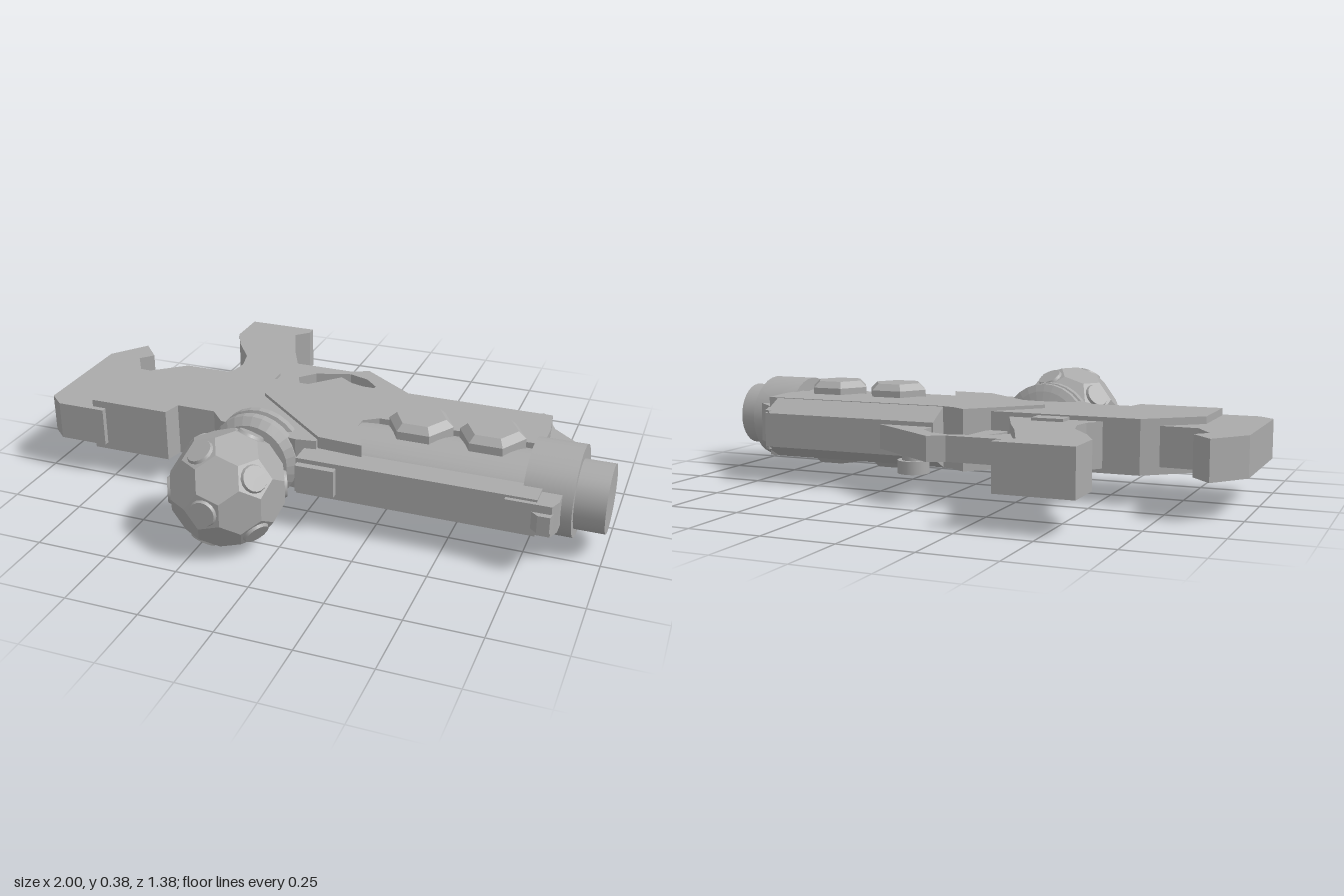
import * as THREE from 'three';
import { ConvexGeometry } from 'three/addons/geometries/ConvexGeometry.js';

const MID = 0.205; // height of the symmetry plane

export function createModel() {
  const model = new THREE.Group();
  model.name = 'blaster';
  const grey = new THREE.MeshStandardMaterial({ color: 0xaaaaaa });
  grey.name = 'grey';

  function add(name, geometry, parent = model) {
    const mesh = new THREE.Mesh(geometry, grey);
    mesh.name = name;
    parent.add(mesh);
    return mesh;
  }

  // Plate with an outline in x and z, thick from y0 to y1
  function slab(name, outline, y0, y1) {
    const shape = new THREE.Shape(outline.map(([x, z]) => new THREE.Vector2(x, -z)));
    const g = new THREE.ExtrudeGeometry(shape, { depth: y1 - y0, bevelEnabled: false });
    g.rotateX(-Math.PI / 2).translate(0, y0, 0);
    return add(name, g);
  }

  // Beam with a cross-section in z and y, running from x0 to x1
  function beam(name, section, x0, x1) {
    const shape = new THREE.Shape(section.map(([z, y]) => new THREE.Vector2(-z, y)));
    const g = new THREE.ExtrudeGeometry(shape, { depth: x1 - x0, bevelEnabled: false });
    g.rotateY(Math.PI / 2).translate(x0, 0, 0);
    return add(name, g);
  }

  function box(name, x0, x1, y0, y1, z0, z1) {
    const g = new THREE.BoxGeometry(x1 - x0, y1 - y0, z1 - z0);
    g.translate((x0 + x1) / 2, (y0 + y1) / 2, (z0 + z1) / 2);
    return add(name, g);
  }

  // Cylinder along x, squashed in height if needed
  function tube(name, r, x0, x1, z, squash = 1, sides = 32) {
    const g = new THREE.CylinderGeometry(r, r, x1 - x0, sides);
    g.rotateZ(Math.PI / 2).scale(1, squash, 1).translate((x0 + x1) / 2, MID, z);
    return add(name, g);
  }

  // Stock and rear body
  slab('buttPlate', [[-1, -0.2], [-0.905, -0.325], [-0.835, -0.245], [-0.875, -0.2],
    [-0.82, -0.11], [-0.68, -0.105], [-0.68, 0.24], [-0.77, 0.245], [-0.77, 0.265],
    [-0.945, 0.265], [-1, 0.215]], 0.14, 0.275);
  slab('rearBody', [[-0.82, 0], [-0.64, -0.15], [-0.05, -0.15], [0.04, 0], [0.04, 0.27],
    [-0.03, 0.28], [-0.32, 0.24], [-0.375, 0.18], [-0.515, 0.18], [-0.53, 0.245],
    [-0.82, 0.245]], 0.115, 0.3);

  // Grip, guard and trigger
  slab('grip', [[-0.605, -0.69], [-0.345, -0.69], [-0.345, -0.655], [-0.39, -0.61],
    [-0.32, -0.44], [-0.26, -0.32], [-0.2, -0.18], [-0.18, -0.13], [-0.53, -0.13],
    [-0.475, -0.2], [-0.465, -0.265], [-0.485, -0.345], [-0.56, -0.45],
    [-0.605, -0.54]], 0.13, 0.285);
  box('gripRidge', -0.4, -0.29, 0.12, 0.295, -0.215, -0.14);
  slab('triggerGuard', [[-0.33, -0.42], [-0.075, -0.42], [-0.02, -0.45], [0.245, -0.26],
    [0.2, -0.2], [0.05, -0.2], [0.05, -0.32], [0, -0.37], [-0.075, -0.395],
    [-0.2, -0.355], [-0.25, -0.3], [-0.28, -0.32]], 0.165, 0.25);
  slab('trigger', [[-0.09, -0.345], [-0.1, -0.24], [-0.11, -0.14], [-0.18, -0.14],
    [-0.18, -0.19], [-0.155, -0.26], [-0.145, -0.31]], 0.18, 0.235);
  for (const [r, y0, y1] of [[0.04, 0.11, 0.17], [0.055, 0.09, 0.135]]) {
    const g = new THREE.CylinderGeometry(r, r, y1 - y0, 20);
    add('guardKnob', g.translate(0.12, (y0 + y1) / 2, -0.255));
  }

  // Front body with its notch for the barrel
  slab('frontBody', [[-0.26, 0], [-0.05, -0.225], [0, -0.19], [0.05, -0.175], [0.74, -0.175],
    [0.755, -0.06], [0.755, 0.055], [0.19, 0.055], [0.14, 0.09], [0.14, 0.135],
    [0.2, 0.27], [0.045, 0.26]], 0.1, 0.312);
  tube('barrelShroud', 0.15, 0.04, 0.755, 0.14, 0.7);
  beam('upperRail', [[-0.15, 0.31], [-0.175, 0.31], [-0.26, 0.265], [-0.26, 0.145],
    [-0.175, 0.1], [-0.15, 0.1]], 0.045, 0.705);
  slab('railNose', [[0.69, -0.26], [0.71, -0.25], [0.755, -0.15], [0.84, -0.075],
    [0.69, -0.075]], 0.135, 0.275);

  // Lower rail with block and sight
  box('lowerRail', 0, 0.8, 0.14, 0.27, 0.2, 0.35);
  box('railBlock', 0.005, 0.14, 0.16, 0.255, 0.25, 0.375);
  slab('sightBase', [[0.7, 0.26], [0.865, 0.26], [0.865, 0.325], [0.85, 0.365],
    [0.7, 0.365]], 0.155, 0.262);
  slab('sightTip', [[0.77, 0.35], [0.855, 0.35], [0.85, 0.385], [0.81, 0.385]], 0.175, 0.235);

  // Muzzle
  tube('muzzleCollar', 0.165, 0.74, 0.9, 0.125, 0.91);
  tube('muzzle', 0.115, 0.85, 1, 0.145);

  // Hexagonal bosses on both faces
  for (const side of [1, -1]) {
    for (const x of [0.345, 0.59]) {
      for (const [top, bottom, y0, y1] of [[0.112, 0.112, 0.06, 0.13], [0.086, 0.112, 0.13, 0.153]]) {
        const g = new THREE.CylinderGeometry(top, bottom, y1 - y0, 6).toNonIndexed();
        g.rotateY(Math.PI / 2).translate(0, (y0 + y1) / 2, 0);
        if (side < 0) g.rotateX(Math.PI);
        g.computeVertexNormals();
        add('hexBoss', g.translate(x, MID, 0.078));
      }
    }
  }

  // Stacked rings that carry the ball
  const profile = [[0, 0.16], [0.13, 0.2], [0.155, 0.212], [0.155, 0.235], [0.135, 0.242],
    [0.135, 0.25], [0.155, 0.258], [0.155, 0.285], [0.13, 0.308], [0.08, 0.312],
    [0.08, 0.37], [0, 0.37]].map(([r, z]) => new THREE.Vector2(r, z));
  const rings = new THREE.LatheGeometry(profile, 28).toNonIndexed();
  rings.rotateX(Math.PI / 2).computeVertexNormals();
  add('ballMount', rings.translate(-0.18, MID, 0));

  // Panelled ball: an icosahedron cut at its corners, a stud on every corner
  const ball = new THREE.Group();
  ball.name = 'ball';
  ball.position.set(-0.178, MID, 0.5);
  model.add(ball);
  const corners = [new THREE.Vector3(0, 0, 1), new THREE.Vector3(0, 0, -1)];
  for (const s of [1, -1]) {
    for (let i = 0; i < 5; i++) {
      const a = (i * 2 * Math.PI) / 5 + (s > 0 ? Math.PI : 0);
      corners.push(new THREE.Vector3(0.8944 * Math.cos(a), 0.8944 * Math.sin(a), 0.4472 * s));
    }
  }
  const points = [];
  for (const a of corners) {
    for (const b of corners) {
      if (a !== b && a.distanceTo(b) < 1.2) points.push(a.clone().lerp(b, 1 / 3).setLength(0.194));
    }
  }
  add('ballShell', new ConvexGeometry(points), ball);
  for (const c of corners) {
    const g = new THREE.CylinderGeometry(0.042, 0.056, 0.03, 16);
    const stud = add('ballStud', g, ball);
    stud.position.copy(c).multiplyScalar(0.177);
    stud.quaternion.setFromUnitVectors(new THREE.Vector3(0, 1, 0), c);
  }
  return model;
}
